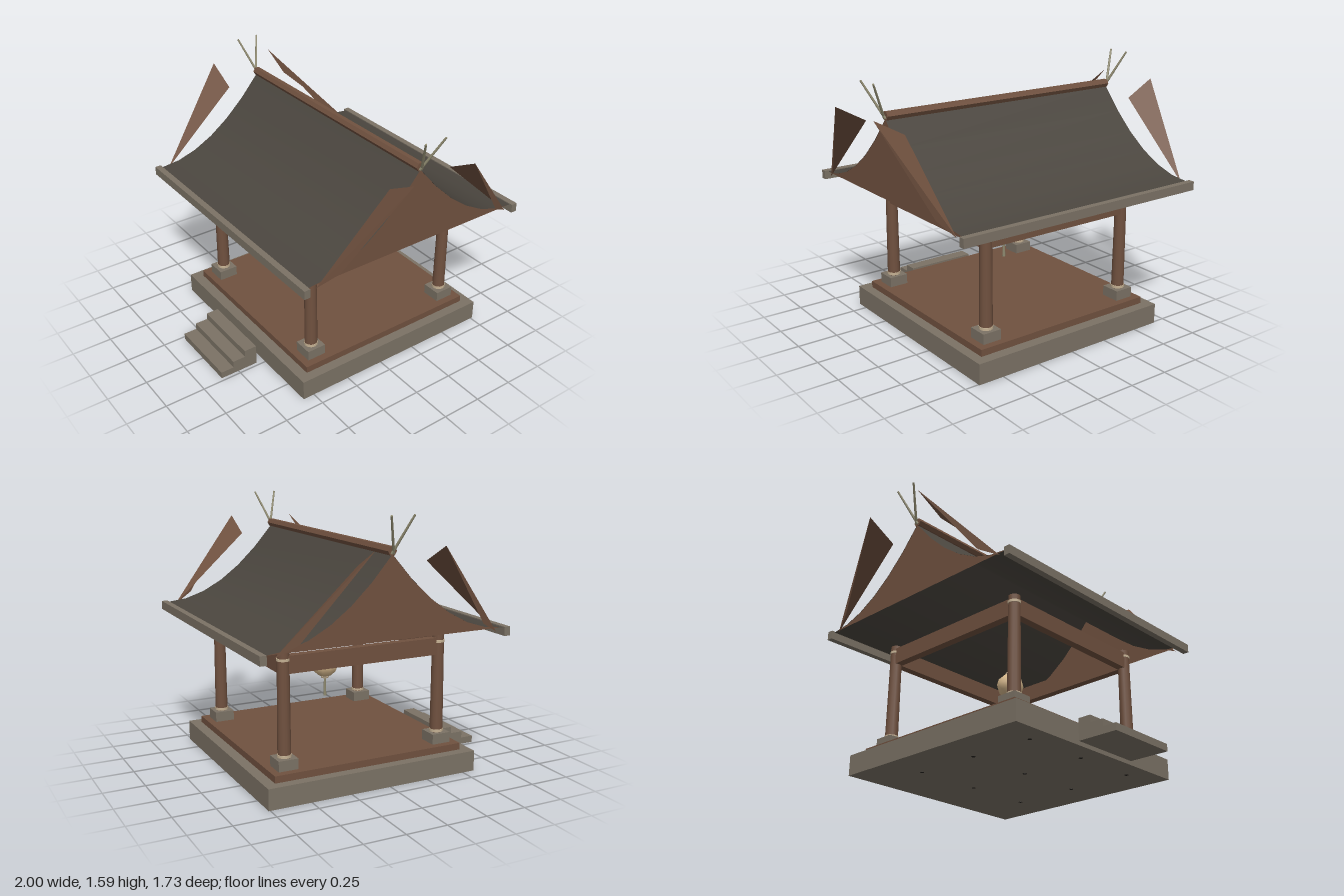
import * as THREE from 'three';

export function createModel() {
  const model = new THREE.Group();
  model.name = 'pavilion';

  const paint = (name, color, side = THREE.FrontSide) => {
    const m = new THREE.MeshStandardMaterial({ color, side });
    m.name = name;
    return m;
  };
  const stone = paint('stone', 0x7b7265);
  const wood = paint('wood', 0x70513f);
  const panelWood = paint('panel wood', 0x70513f, THREE.DoubleSide);
  const roofTile = paint('roof tile', 0x4b463f, THREE.DoubleSide);
  const bamboo = paint('bamboo', 0x8f8a70);
  const paper = paint('lantern paper', 0xd6b88c);
  const cream = paint('cream trim', 0xc6b294);
  const dark = paint('dark peg', 0x26231f);

  const add = (name, geometry, material, x = 0, y = 0, z = 0, parent = model) => {
    const mesh = new THREE.Mesh(geometry, material);
    mesh.name = name;
    mesh.position.set(x, y, z);
    parent.add(mesh);
    return mesh;
  };
  // Box given by its bottom height, top height and footprint
  const slab = (name, material, w, d, y0, y1, x, z, parent) =>
    add(name, new THREE.BoxGeometry(w, y1 - y0, d), material, x, (y0 + y1) / 2, z, parent);
  const drum = (name, material, rTop, rBottom, y0, y1, x, z, parent, sides = 12) =>
    add(name, new THREE.CylinderGeometry(rTop, rBottom, y1 - y0, sides), material, x, (y0 + y1) / 2, z, parent);

  // The pavilion body sits slightly behind the origin, leaving room for the steps
  const body = new THREE.Group();
  body.name = 'body';
  body.position.z = -0.094;
  model.add(body);

  // Base, deck and pegs beneath
  slab('base', stone, 1.33, 1.335, 0.002, 0.127, 0, 0, body);
  slab('deck', wood, 1.21, 1.205, 0.127, 0.168, 0, 0, body);
  for (const x of [-0.42, 0, 0.42]) {
    for (const z of [-0.3, 0.12, 0.54]) drum('peg', dark, 0.012, 0.012, 0, 0.002, x, z, body, 8);
  }

  // Front steps
  const stepFronts = [0.866, 0.782, 0.7];
  stepFronts.forEach((front, i) => {
    slab('step', stone, 0.456, front - 0.62, i * 0.0425, (i + 1) * 0.0425, 0, (front + 0.62) / 2);
  });

  // Four columns on plinths with trim rings
  for (const x of [-0.5, 0.5]) {
    for (const z of [-0.5, 0.5]) {
      slab('plinth', stone, 0.12, 0.12, 0.168, 0.23, x, z, body);
      drum('column', wood, 0.035, 0.039, 0.23, 0.832, x, z, body);
      drum('lowerRing', cream, 0.042, 0.042, 0.232, 0.248, x, z, body);
      drum('upperRing', cream, 0.039, 0.039, 0.783, 0.798, x, z, body);
    }
  }

  // Tie beams
  for (const s of [-1, 1]) {
    slab('crossBeam', wood, 1, 0.05, 0.71, 0.812, 0, s * 0.5, body);
    slab('sideBeam', wood, 0.05, 1, 0.71, 0.812, s * 0.5, 0, body);
  }

  // Hanging lantern
  const lantern = new THREE.Group();
  lantern.name = 'lantern';
  body.add(lantern);
  add('lanternGlobe', new THREE.SphereGeometry(0.083, 10, 6).scale(1, 0.93, 1), paper, 0, 0.587, 0, lantern);
  drum('lanternCap', cream, 0.028, 0.032, 0.66, 0.672, 0, 0, lantern);
  drum('lanternFoot', cream, 0.026, 0.022, 0.502, 0.514, 0, 0, lantern);
  drum('tassel', bamboo, 0.006, 0.01, 0.388, 0.502, 0, 0, lantern, 8);

  // Sweeping roof: height falls as a curve from ridge to eave
  const HALF = 0.735, EAVE = 0.905, RIDGE = 1.372;
  const roofY = d => EAVE + (RIDGE - EAVE) * Math.pow(1 - Math.min(d / HALF, 1), 1.97);
  for (const s of [1, -1]) {
    const slope = new THREE.PlaneGeometry(1.62, HALF, 1, 6).rotateX(-Math.PI / 2).translate(0, 0, HALF / 2);
    const p = slope.attributes.position;
    for (let i = 0; i < p.count; i++) p.setY(i, roofY(p.getZ(i)));
    slope.computeVertexNormals();
    add('roofSlope', slope, roofTile, 0, 0, 0, body).rotation.y = s > 0 ? 0 : Math.PI;
    slab('eaveBoard', stone, 1.66, 0.038, 0.858, 0.911, 0, s * 0.752, body);
  }

  // Gable panels follow the roof curve
  const outline = [];
  for (let i = -6; i <= 6; i++) outline.push(new THREE.Vector2(i * HALF / 6, roofY(Math.abs(i) * HALF / 6)));
  const gable = new THREE.ShapeGeometry(new THREE.Shape(outline));
  for (const s of [-1, 1]) add('gable', gable, panelWood, s * 0.808, 0, 0, body).rotation.y = s * Math.PI / 2;

  // Ridge pole
  const ridge = new THREE.CylinderGeometry(0.027, 0.027, 1.62, 6).toNonIndexed();
  ridge.rotateZ(Math.PI / 2);
  ridge.computeVertexNormals();
  add('ridgePole', ridge, wood, 0, 1.389, 0, body);

  const up = new THREE.Vector3(0, 1, 0);
  for (const sx of [-1, 1]) {
    for (const sz of [-1, 1]) {
      // Folded wing boards flaring out from the gable
      const tip = [sx, 1.427, sz * 0.21];
      const inner = [sx * 0.813, 1.325, sz * 0.21];
      const foot = [sx * 0.813, 0.886, sz * 0.686];
      const bend = [sx * 0.858, 0.952, sz * 0.565];
      const faces = sx * sz > 0 ? [tip, inner, foot, tip, foot, bend] : [tip, foot, inner, tip, bend, foot];
      const wing = new THREE.BufferGeometry();
      wing.setAttribute('position', new THREE.Float32BufferAttribute(faces.flat(), 3));
      wing.computeVertexNormals();
      add('wingBoard', wing, panelWood, 0, 0, 0, body);

      // Crossed finials at the ridge ends
      const a = new THREE.Vector3(sx * 0.812, 1.375, -sz * 0.006);
      const b = new THREE.Vector3(sx * 0.915, 1.586, sz * 0.07);
      const rod = new THREE.CylinderGeometry(0.006, 0.008, a.distanceTo(b), 8);
      const finial = add('finial', rod, bamboo, 0, 0, 0, body);
      finial.position.lerpVectors(a, b, 0.5);
      finial.quaternion.setFromUnitVectors(up, b.clone().sub(a).normalize());
    }
  }

  return model;
}
